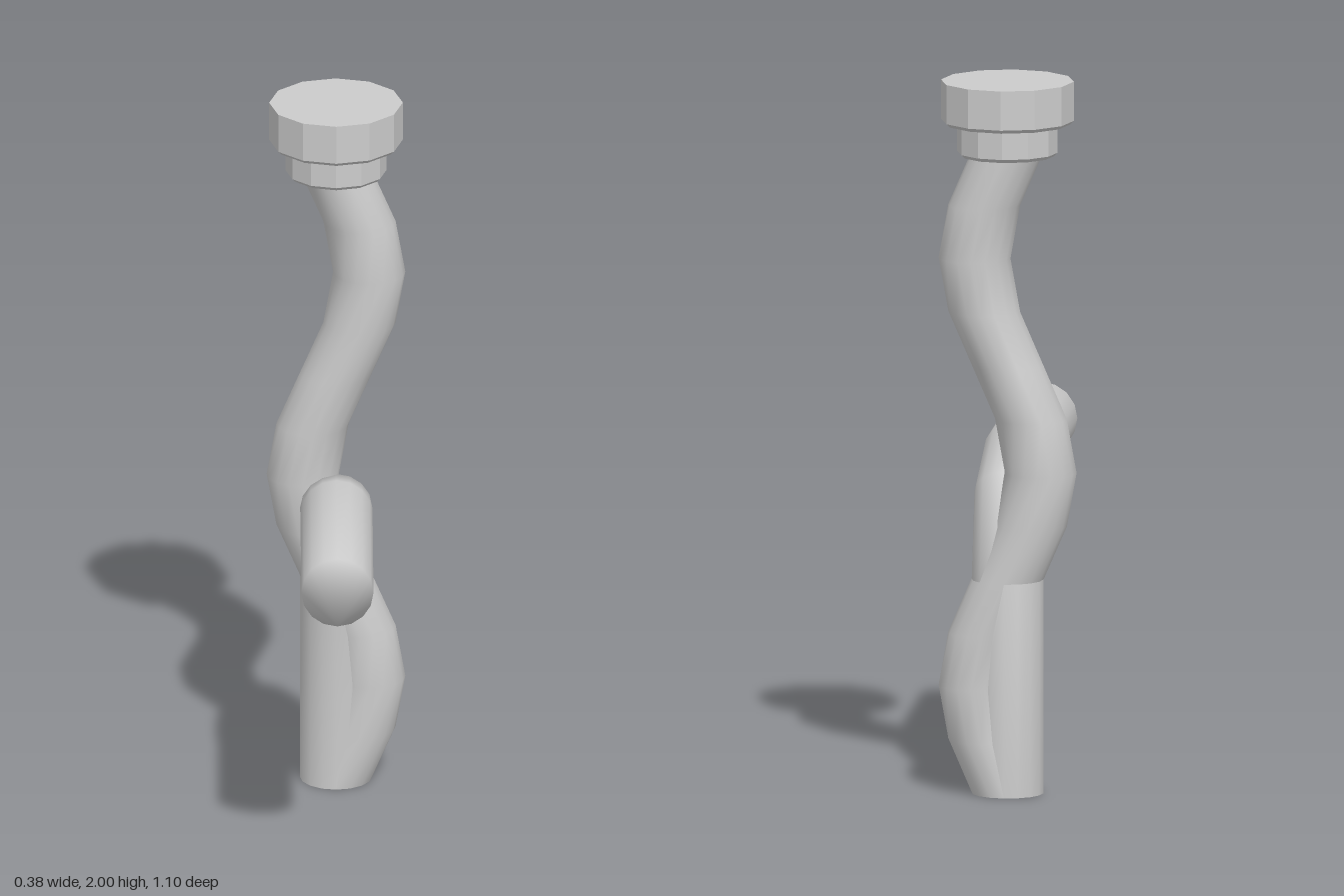
import * as THREE from 'three';

const X0 = -0.005, Z0 = -0.36, R = 0.1, SIDES = 16;
const material = new THREE.MeshStandardMaterial({ color: 0xcccccc });

// Skin a row of rings; each ring has a centre c and half-axes u, v (u x v points along the path)
function loft(rings, roundEnd = false) {
  const pos = [], idx = [];
  for (const { c, u, v } of rings) {
    for (let i = 0; i < SIDES; i++) {
      const a = (i / SIDES) * Math.PI * 2;
      pos.push(...c.clone().addScaledVector(u, Math.cos(a)).addScaledVector(v, Math.sin(a)).toArray());
    }
  }
  for (let r = 0; r < rings.length - 1; r++) {
    for (let i = 0; i < SIDES; i++) {
      const a = r * SIDES + i, b = r * SIDES + (i + 1) % SIDES;
      idx.push(a, b, b + SIDES, a, b + SIDES, a + SIDES);
    }
  }
  // far cap shares the rim vertices, so its edge shades softly
  if (roundEnd) {
    const last = (rings.length - 1) * SIDES;
    for (let i = 1; i < SIDES - 1; i++) idx.push(last, last + i, last + i + 1);
  }
  const g = new THREE.BufferGeometry();
  g.setAttribute('position', new THREE.Float32BufferAttribute(pos, 3));
  g.setIndex(idx);
  g.computeVertexNormals();
  return g;
}

export function createModel() {
  const group = new THREE.Group();
  const add = (name, geometry, mat = material) => {
    const mesh = new THREE.Mesh(geometry, mat);
    mesh.name = name;
    group.add(mesh);
    return mesh;
  };

  // Wavy stem: level rings swaying sideways in a sine wave
  const stem = [];
  for (let i = 0; i <= 12; i++) {
    stem.push({
      c: new THREE.Vector3(X0 + 0.092 * Math.sin(i * Math.PI / 4), i * 0.15, Z0),
      u: new THREE.Vector3(0, 0, R),
      v: new THREE.Vector3(R, 0, 0),
    });
  }
  add('wavyStem', loft(stem));

  // Base disc under both pipes
  const base = add('baseCap', new THREE.CircleGeometry(R, SIDES));
  base.rotation.x = Math.PI / 2;
  base.position.set(X0, 0, Z0);

  // Branch pipe: upright, then bending forward; [y, z, tilt of the path from vertical]
  const path = [
    [0, Z0, 0],
    [0.6, Z0, 0],
    [0.83, -0.285, Math.PI / 4],
    [0.9, -0.05, Math.PI / 2],
    [0.9, 0.55, Math.PI / 2],
  ];
  add('branchPipe', loft(path.map(([y, z, t]) => ({
    c: new THREE.Vector3(X0, y, z),
    u: new THREE.Vector3(0, -Math.sin(t), Math.cos(t)).multiplyScalar(R),
    v: new THREE.Vector3(R, 0, 0),
  })), true));

  // Stepped twelve-sided head with small bevels
  const profile = [
    [0, 1.79], [0.13, 1.79], [0.14, 1.8], [0.14, 1.88],
    [0.175, 1.88], [0.185, 1.89], [0.185, 2], [0, 2],
  ].map(([r, y]) => new THREE.Vector2(r, y));
  const flat = material.clone();
  flat.flatShading = true;
  add('steppedHead', new THREE.LatheGeometry(profile, 12), flat).position.set(X0, 0, -0.365);

  return group;
}
